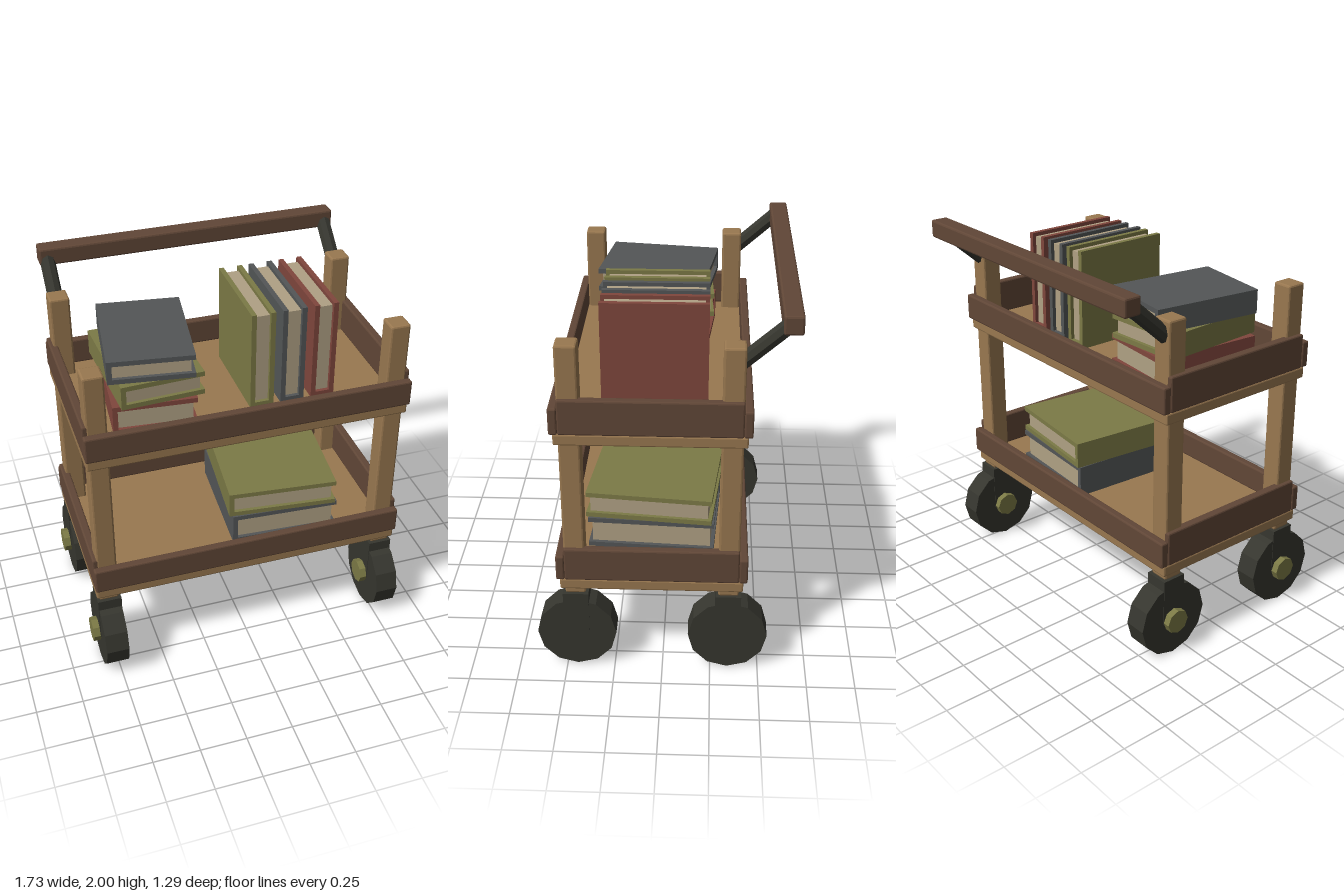
import * as THREE from 'three';
import { RoundedBoxGeometry } from 'three/addons/geometries/RoundedBoxGeometry.js';

const makeMaterial = (name, color) => {
  const m = new THREE.MeshStandardMaterial({ color });
  m.name = name;
  return m;
};

export function createModel() {
  const wood = makeMaterial('light wood', 0x997850);
  const darkWood = makeMaterial('dark wood', 0x614737);
  const iron = makeMaterial('dark iron', 0x36362f);
  const olive = makeMaterial('olive', 0x7c7a46);
  const red = makeMaterial('red cover', 0x80473d);
  const grey = makeMaterial('grey cover', 0x535657);
  const paper = makeMaterial('paper', 0xb0a184);

  const cart = new THREE.Group();
  cart.name = 'bookCart';

  const add = (parent, name, geometry, material) => {
    const flat = geometry.index ? geometry.toNonIndexed() : geometry;
    flat.computeVertexNormals();
    const mesh = new THREE.Mesh(flat, material);
    mesh.name = name;
    parent.add(mesh);
    return mesh;
  };

  // Box given by its limits on each axis, with an optional small bevel
  const box = (parent, name, material, [x0, x1], [y0, y1], [z0, z1], bevel = 0) => {
    const size = [x1 - x0, y1 - y0, z1 - z0];
    const g = bevel ? new RoundedBoxGeometry(...size, 1, bevel) : new THREE.BoxGeometry(...size);
    const mesh = add(parent, name, g, material);
    mesh.position.set((x0 + x1) / 2, (y0 + y1) / 2, (z0 + z1) / 2);
    return mesh;
  };

  // Two trays: a board with low front and back rails and taller side rails
  for (const [name, y] of [['lowerTray', 0.485], ['upperTray', 1.325]]) {
    const tray = new THREE.Group();
    tray.name = name;
    cart.add(tray);
    const top = y + 0.06;
    box(tray, 'board', wood, [-0.84, 0.855], [y, top], [-0.412, 0.52], 0.008);
    box(tray, 'frontRail', darkWood, [-0.845, 0.862], [top, top + 0.14], [0.495, 0.538], 0.008);
    box(tray, 'backRail', darkWood, [-0.845, 0.862], [top, top + 0.14], [-0.433, -0.39], 0.008);
    box(tray, 'rightRail', darkWood, [-0.845, -0.8], [top, top + 0.185], [-0.39, 0.495], 0.008);
    box(tray, 'leftRail', darkWood, [0.817, 0.862], [top, top + 0.185], [-0.39, 0.495], 0.008);
  }

  // Corner posts with casters; every hub cap is on the -x side
  for (const x of [-0.772, 0.788]) {
    for (const z of [-0.338, 0.444]) {
      box(cart, 'post', wood, [x - 0.053, x + 0.053], [0.45, 1.84], [z - 0.053, z + 0.053], 0.01);

      const caster = new THREE.Group();
      caster.name = 'caster';
      caster.position.set(x, 0.205, z);
      cart.add(caster);
      box(caster, 'fork', iron, [-0.064, 0.064], [-0.01, 0.245], [-0.066, 0.066]);
      add(caster, 'wheel', new THREE.CylinderGeometry(0.205, 0.205, 0.122, 12).rotateZ(Math.PI / 2), iron);
      add(caster, 'hubCap', new THREE.CylinderGeometry(0.066, 0.066, 0.05, 8).rotateZ(Math.PI / 2), olive)
        .position.x = -0.075;
    }
  }

  // Push handle on two slanted arms
  box(cart, 'handleBar', darkWood, [-0.815, 0.835], [1.905, 2], [-0.645, -0.55], 0.01);
  const start = new THREE.Vector2(-0.35, 1.735);
  const end = new THREE.Vector2(-0.595, 1.953);
  for (const x of [-0.772, 0.792]) {
    const arm = add(cart, 'handleArm', new THREE.CylinderGeometry(0.04, 0.04, start.distanceTo(end), 8), iron);
    arm.position.set(x, (start.y + end.y) / 2, (start.x + end.x) / 2);
    arm.rotation.x = Math.atan2(end.x - start.x, end.y - start.y);
  }

  // Book lying flat with its spine at -x: two covers, a spine, inset pages
  const book = (name, cover, w, h, d) => {
    const g = new THREE.Group();
    g.name = name;
    cart.add(g);
    const t = 0.026, inset = 0.02, X = w / 2, Y = h / 2, Z = d / 2;
    box(g, 'bottomCover', cover, [-X, X], [-Y, -Y + t], [-Z, Z]);
    box(g, 'topCover', cover, [-X, X], [Y - t, Y], [-Z, Z]);
    box(g, 'spine', cover, [-X, -X + t], [-Y + t, Y - t], [-Z, Z]);
    box(g, 'pages', paper, [-X + t, X - inset], [-Y + t, Y - t], [-Z + inset, Z - inset]);
    return g;
  };

  // Stacked books: cover, width, bottom, top, depth, x, z, turn
  const stacked = [
    [red, 0.43, 1.385, 1.545, 0.59, -0.418, 0.063, -0.09],
    [olive, 0.433, 1.545, 1.674, 0.59, -0.418, 0.065, 0.055],
    [grey, 0.437, 1.674, 1.8, 0.59, -0.416, 0.063, -0.139],
    [grey, 0.59, 0.545, 0.72, 0.66, 0.278, 0.053, -0.06],
    [olive, 0.595, 0.72, 0.865, 0.66, 0.275, 0.053, -0.1],
  ];
  for (const [cover, w, y0, y1, d, x, z, turn] of stacked) {
    const b = book('stackedBook', cover, w, y1 - y0, d);
    b.position.set(x, (y0 + y1) / 2, z);
    b.rotation.y = turn;
  }

  // Upright books standing on their spines
  for (const [cover, x] of [[olive, 0.13], [grey, 0.295], [red, 0.462]]) {
    const b = book('uprightBook', cover, 0.537, 0.127, 0.532);
    b.position.set(x, 1.6535, 0.048);
    b.rotation.z = Math.PI / 2;
  }

  return cart;
}
